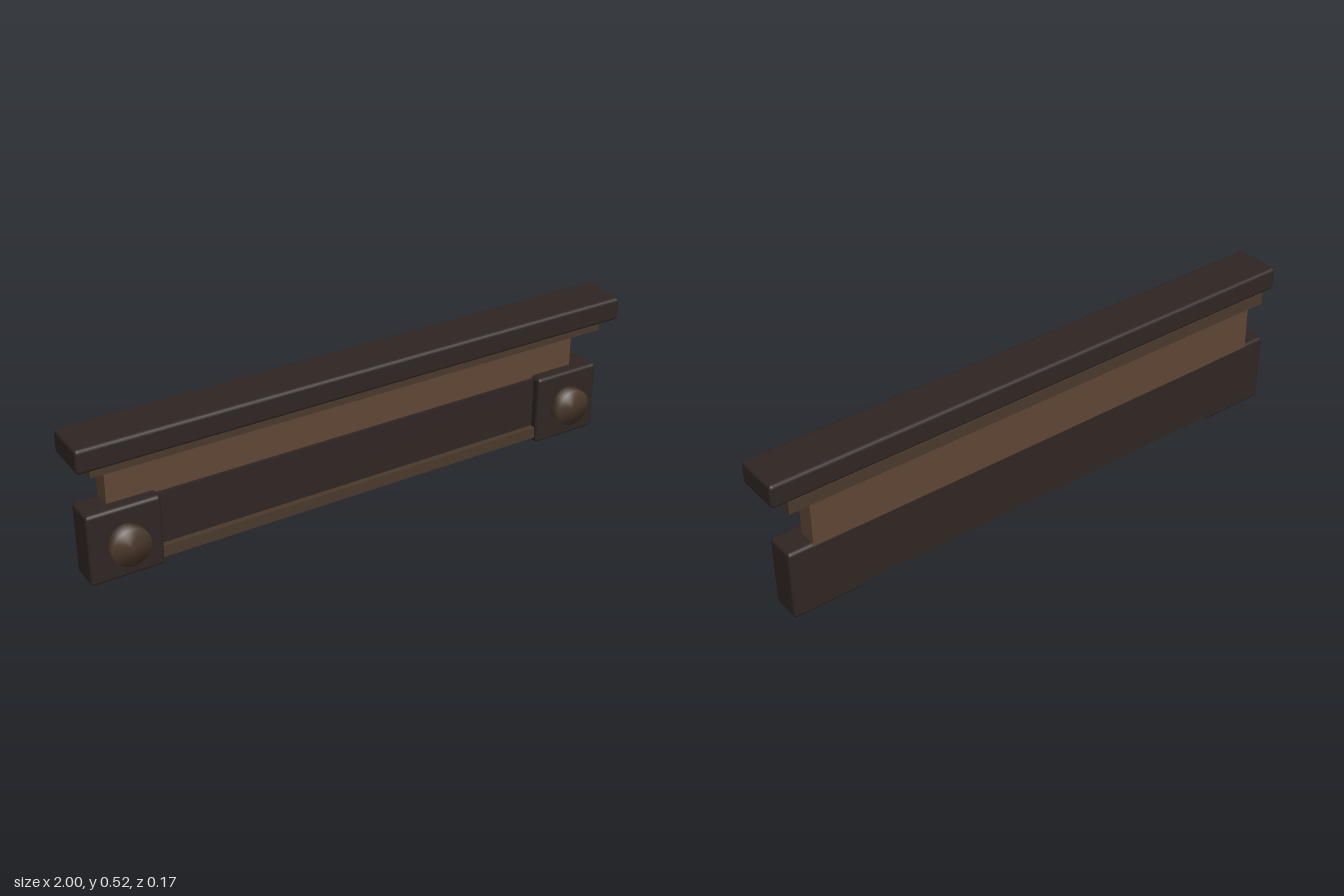
import * as THREE from 'three';
import { RoundedBoxGeometry } from 'three/addons/geometries/RoundedBoxGeometry.js';
import { mergeVertices } from 'three/addons/utils/BufferGeometryUtils.js';

const BACK = -0.083;
const darkWood = new THREE.MeshStandardMaterial({ color: 0x2f2623 });
const brownWood = new THREE.MeshStandardMaterial({ color: 0x5f4635 });
const trimWood = new THREE.MeshStandardMaterial({ color: 0x4a392c });

// Box set by its extents; a radius rounds the edges
function board(name, material, [x0, x1], [y0, y1], [z0, z1], radius = 0) {
  const size = [x1 - x0, y1 - y0, z1 - z0];
  const geometry = radius
    ? new RoundedBoxGeometry(...size, 2, radius)
    : new THREE.BoxGeometry(...size);
  const mesh = new THREE.Mesh(geometry, material);
  mesh.name = name;
  mesh.position.set((x0 + x1) / 2, (y0 + y1) / 2, (z0 + z1) / 2);
  return mesh;
}

// Round boss with normals blended over the rim
function rosette(name, x) {
  let geometry = new THREE.CylinderGeometry(0.066, 0.066, 0.045, 32);
  geometry.deleteAttribute('normal');
  geometry.deleteAttribute('uv');
  geometry = mergeVertices(geometry);
  geometry.computeVertexNormals();
  geometry.rotateX(Math.PI / 2);
  const mesh = new THREE.Mesh(geometry, trimWood);
  mesh.name = name;
  mesh.position.set(x, 0.126, 0.045);
  return mesh;
}

export function createModel() {
  const group = new THREE.Group();
  group.name = 'doorHeader';

  // Crown, bed moulding and frieze
  group.add(
    board('cornice', darkWood, [-1, 1], [0.435, 0.517], [BACK, 0.083], 0.012),
    board('bedMoulding', trimWood, [-0.947, 0.947], [0.393, 0.437], [-0.082, 0.046]),
    board('frieze', brownWood, [-0.88, 0.88], [0.2, 0.394], [BACK, -0.017])
  );

  // Lower panel and the fillet along its foot
  group.add(
    board('lowerPanel', darkWood, [-0.75, 0.75], [0.017, 0.24], [-0.0835, -0.006]),
    board('fillet', trimWood, [-0.73, 0.73], [0.018, 0.058], [-0.02, 0.014])
  );

  // Corner blocks with rosettes
  for (const [side, s] of [['left', 1], ['right', -1]]) {
    const x = s * 0.842;
    group.add(
      board(side + 'CornerBlock', darkWood, [x - 0.124, x + 0.124], [0, 0.25], [-0.084, 0.026], 0.012),
      rosette(side + 'Rosette', x)
    );
  }
  return group;
}
